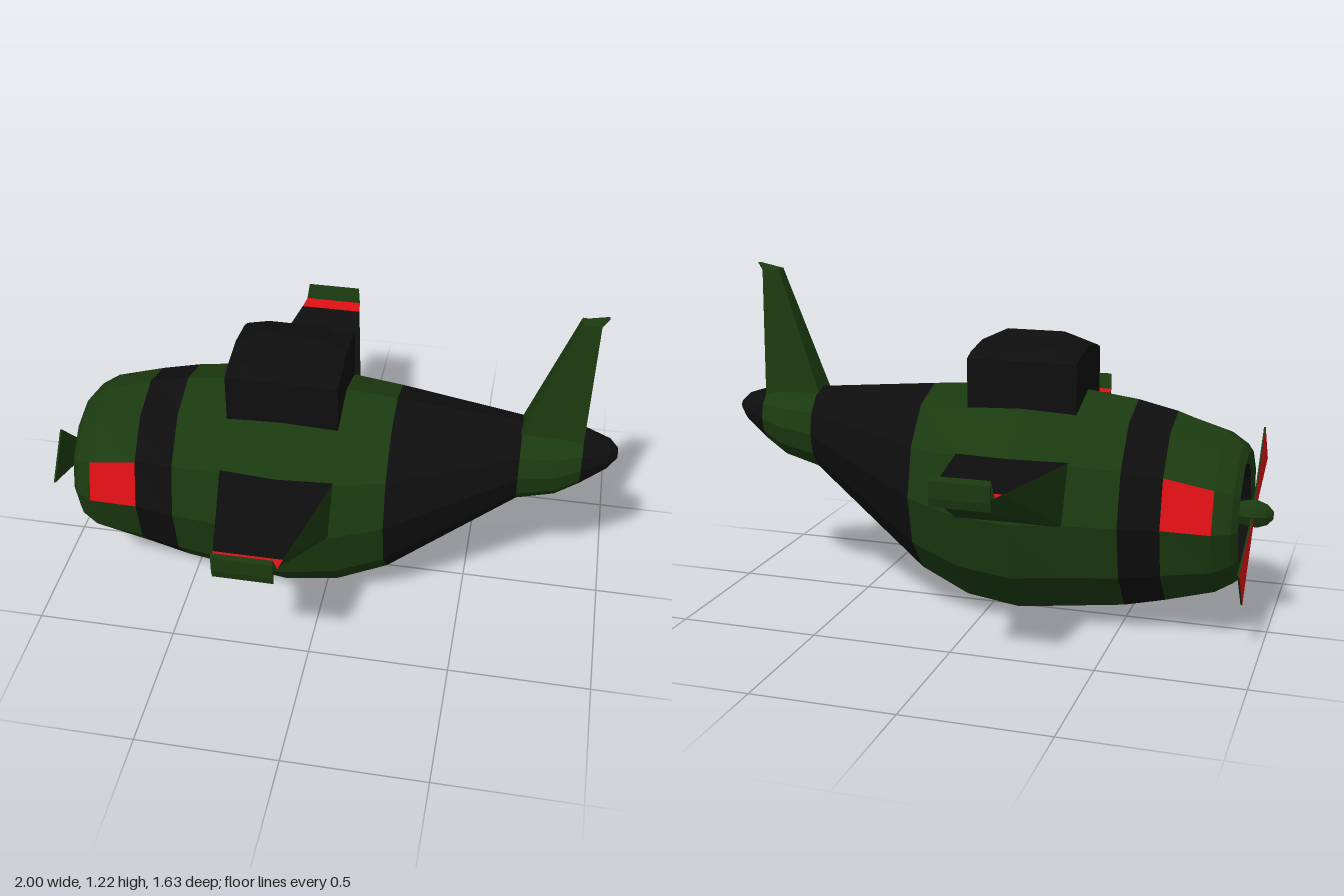
import * as THREE from 'three';

const GREEN = 0x1b3a10, BLACK = 0x0e0e0e, RED = 0xdd1015;
const CY = 0.425, CZ = 0.02; // propeller axis height, plane of symmetry

// Faceted skin through rings of points, split into one mesh per colour.
function loft(name, rings, colorAt, startCap, endCap) {
  const parts = new Map();
  const tri = (color, ...pts) => {
    if (!parts.has(color)) parts.set(color, []);
    pts.forEach(p => parts.get(color).push(...p));
  };
  const n = rings[0].length;
  for (let i = 0; i < rings.length - 1; i++) {
    for (let j = 0; j < n; j++) {
      const k = (j + 1) % n, a = rings[i], b = rings[i + 1], c = colorAt(i, j);
      tri(c, a[j], a[k], b[k]);
      tri(c, a[j], b[k], b[j]);
    }
  }
  const cap = (ring, color, flip) => {
    const mid = [0, 1, 2].map(d => ring.reduce((s, p) => s + p[d], 0) / n);
    ring.forEach((p, j) => {
      const q = ring[(j + 1) % n];
      if (flip) tri(color, mid, q, p); else tri(color, mid, p, q);
    });
  };
  if (startCap !== undefined) cap(rings[0], startCap, true);
  if (endCap !== undefined) cap(rings[rings.length - 1], endCap, false);

  const group = new THREE.Group();
  group.name = name;
  for (const [color, pos] of parts) {
    const g = new THREE.BufferGeometry();
    g.setAttribute('position', new THREE.Float32BufferAttribute(pos, 3));
    g.computeVertexNormals();
    const mesh = new THREE.Mesh(g, new THREE.MeshStandardMaterial({ color, flatShading: true }));
    mesh.name = name + { [GREEN]: 'Green', [BLACK]: 'Black', [RED]: 'Red' }[color];
    group.add(mesh);
  }
  return group;
}

// Ellipse ring across the x axis, first point on top.
function ellipse(x, top, bottom, halfWidth, sides = 12) {
  return Array.from({ length: sides }, (_, j) => {
    const a = (j / sides) * Math.PI * 2;
    return [x, (top + bottom) / 2 + Math.cos(a) * (top - bottom) / 2, CZ + Math.sin(a) * halfWidth];
  });
}

function fuselage() {
  // x, top, bottom, half width, colour of the band that follows
  const stations = [
    [-0.84, 0.58, 0.27, 0.155, BLACK], // recessed intake
    [-0.90, 0.60, 0.25, 0.18, GREEN],
    [-0.91, 0.645, 0.21, 0.225, GREEN],
    [-0.89, 0.672, 0.178, 0.255, GREEN],
    [-0.83, 0.712, 0.14, 0.29, GREEN], // band with the red panels
    [-0.66, 0.77, 0.085, 0.295, BLACK],
    [-0.52, 0.802, 0.05, 0.315, GREEN],
    [-0.34, 0.825, 0.027, 0.337, GREEN],
    [-0.145, 0.832, 0.003, 0.358, GREEN],
    [0.05, 0.825, 0.028, 0.337, GREEN],
    [0.23, 0.81, 0.11, 0.295, BLACK],
    [0.67, 0.77, 0.46, 0.13, GREEN],
    [0.80, 0.765, 0.497, 0.12, GREEN],
    [0.88, 0.755, 0.55, 0.095, BLACK],
    [0.97, 0.725, 0.62, 0.052, BLACK],
    [1.0, 0.695, 0.66, 0.018, BLACK],
  ];
  const rings = stations.map(s => ellipse(...s.slice(0, 4)));
  const colorAt = (i, j) => (i === 4 && (j === 2 || j === 9) ? RED : stations[i][4]);
  return loft('fuselage', rings, colorAt, BLACK, BLACK);
}

function canopy() {
  // x, shoulder height, ridge height
  const rings = [[-0.34, 0.96, 0.98], [-0.25, 0.99, 1.025], [-0.045, 0.99, 1.025], [0.05, 0.96, 0.98]]
    .map(([x, s, top]) => [
      [0, top], [0.13, s], [0.17, 0.945], [0.17, 0.72], [-0.17, 0.72], [-0.17, 0.945], [-0.13, s],
    ].map(([z, y]) => [x, y, CZ + z]));
  return loft('canopy', rings, () => BLACK, BLACK, BLACK);
}

// Wedge-shaped wing with a red band and an upturned tip.
function wing(name, side, zs) {
  const sections = [ // half chord and height of the upper, then of the lower surface
    [0.2, 0.633, 0.2, 0.4],
    [0.115, 0.653, 0.066, 0.585],
    [0.107, 0.657, 0.055, 0.61],
    [0.1, 0.715, 0.1, 0.615],
    [0.1, 0.7, 0.1, 0.645],
  ];
  const rings = sections.map(([t, yt, b, yb], i) =>
    [[t, yt], [-t, yt], [-b, yb], [b, yb]].map(([x, y]) => [-0.145 + x * side, y, zs[i] * side]));
  const colorAt = (i, j) => (j !== 0 || i > 1 ? GREEN : i === 0 ? BLACK : RED);
  return loft(name, rings, colorAt, GREEN, GREEN);
}

function tailFin() {
  // front x, front y, rear x, rear y, half thickness
  const rings = [
    [0.655, 0.72, 0.88, 0.70, 0.056],
    [0.67, 0.77, 0.88, 0.75, 0.052],
    [0.825, 1.2, 0.89, 1.195, 0.02],
    [0.835, 1.204, 0.912, 1.22, 0.009],
  ].map(([xf, yf, xr, yr, w]) => [
    [xf, yf, CZ - w], [xf, yf, CZ + w], [xr, yr, CZ + w], [xr, yr, CZ - w],
  ]);
  return loft('tailFin', rings, (i, j) => (j === 2 ? BLACK : GREEN), GREEN, GREEN);
}

function propeller() {
  const group = new THREE.Group();
  group.name = 'propeller';
  // Spinner and shaft
  const rings = [[-1, 0.015], [-0.98, 0.037], [-0.945, 0.05], [-0.91, 0.047], [-0.84, 0.03]]
    .map(([x, r]) => ellipse(x, CY + r, CY - r, r, 8));
  group.add(loft('spinner', rings, () => GREEN, GREEN, GREEN));
  // Two thin blades, red in front and green behind
  for (const s of [1, -1]) {
    const blade = x => [[0.01, 0.035], [0.22, 0.255], [0.34, 0.11], [0.035, 0.0]]
      .map(([z, y]) => [x, CY + y * s, CZ + z * s]);
    group.add(loft('blade', [blade(-0.935), blade(-0.929)], () => GREEN, RED, GREEN));
  }
  return group;
}

export function createModel() {
  const model = new THREE.Group();
  model.name = 'airplane';
  model.add(
    fuselage(),
    canopy(),
    wing('frontWing', 1, [0.3, 0.73, 0.78, 0.805, 0.813]),
    wing('backWing', -1, [0.26, 0.74, 0.797, 0.812, 0.82]),
    tailFin(),
    propeller(),
  );
  return model;
}
